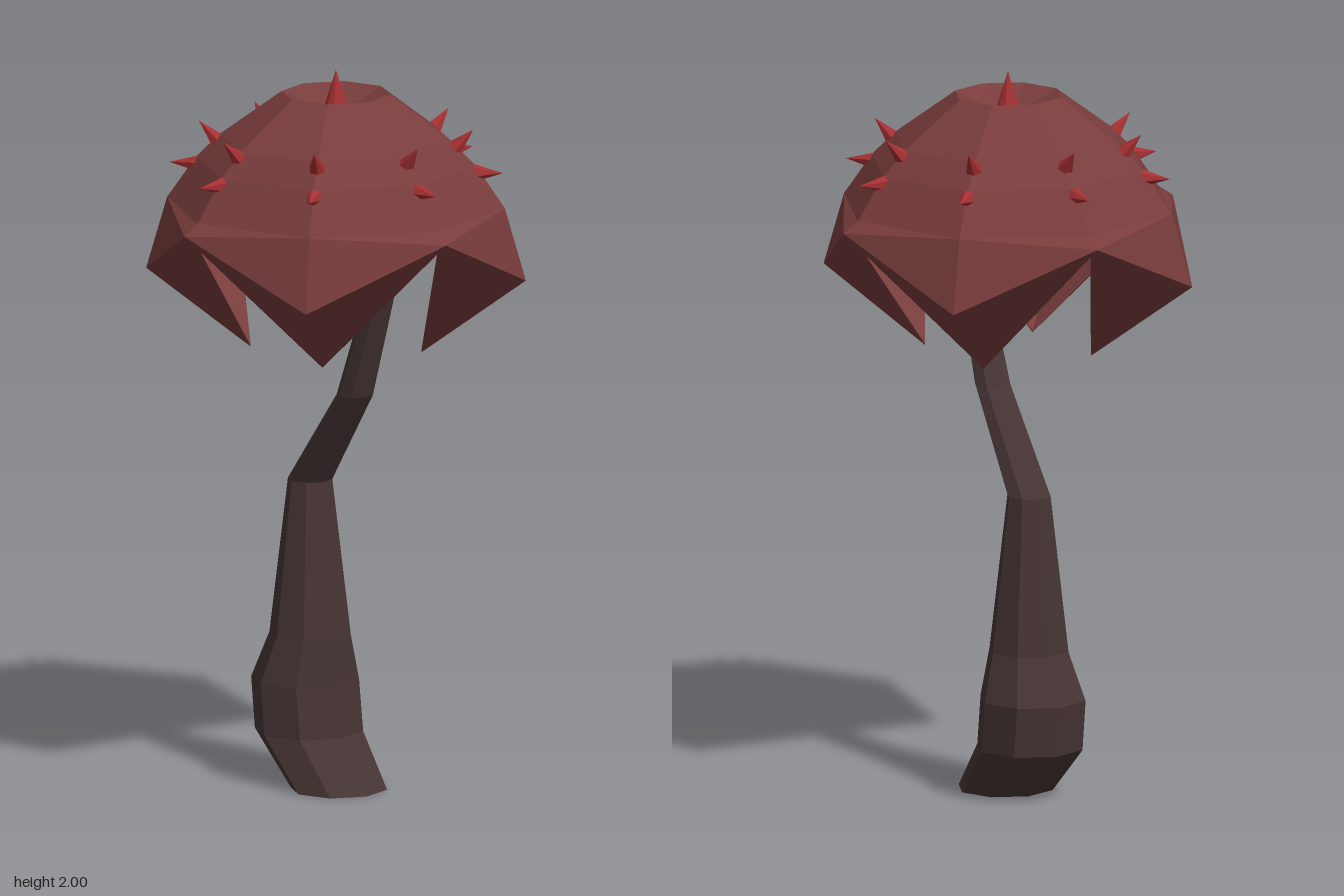
import * as THREE from 'three';

const SIDES = 8;

// Skin a list of 8-point rings; the surface faces outward where rings run upward.
function loft(rings) {
  const pos = [], idx = [];
  rings.forEach(ring => ring.forEach(p => pos.push(...p)));
  for (let k = 0; k < rings.length - 1; k++) {
    for (let i = 0; i < SIDES; i++) {
      const j = (i + 1) % SIDES;
      const a = k * SIDES + i, b = k * SIDES + j, c = a + SIDES, d = b + SIDES;
      // alternate the diagonal so every sector mirrors its neighbour
      if (i % 2) idx.push(a, c, b, b, c, d);
      else idx.push(a, d, b, a, c, d);
    }
  }
  const g = new THREE.BufferGeometry();
  g.setAttribute('position', new THREE.Float32BufferAttribute(pos, 3));
  g.setIndex(idx);
  const flat = g.toNonIndexed();
  flat.computeVertexNormals();
  return flat;
}

// Octagonal ring; even corners lie on the axes, odd corners on the diagonals.
function ring(r, y, rDiag = r, yDiag = y, cx = 0, rz = r) {
  return Array.from({ length: SIDES }, (_, i) => {
    const a = i * Math.PI / 4, odd = i % 2;
    const k = odd ? rDiag / r : 1;
    return [cx + Math.cos(a) * r * k, odd ? yDiag : y, Math.sin(a) * rz * k];
  });
}

export function createModel() {
  const model = new THREE.Group();
  const mat = (name, color) => {
    const m = new THREE.MeshStandardMaterial({ color, flatShading: true });
    m.name = name;
    return m;
  };
  const capRed = mat('dull red cap', 0x793c3c);
  const spikeRed = mat('bright red spike', 0xa63032);
  const bark = mat('dark brown stalk', 0x463434);

  const add = (name, geometry, material, parent = model) => {
    const m = new THREE.Mesh(geometry, material);
    m.name = name;
    parent.add(m);
    return m;
  };

  // Crooked stalk: y, centre x, radius in x, radius in z
  const stalk = [
    [0, 0.013, 0.001, 0.001],
    [0, 0.013, 0.13, 0.135],
    [0.14, -0.125, 0.148, 0.15],
    [0.28, -0.143, 0.147, 0.15],
    [0.41, -0.12, 0.112, 0.112],
    [0.84, -0.12, 0.06, 0.062],
    [1.11, 0.087, 0.047, 0.052],
    [1.40, 0.2, 0.038, 0.043],
    [1.75, 0.07, 0.035, 0.038],
    [1.75, 0.07, 0.001, 0.001],
  ].map(([y, cx, rx, rz]) => ring(rx, y, rx, y, cx, rz));
  add('stalk', loft(stalk), bark);

  // Cap: from the hollow underside, around four hanging points, over the dome to the dimple
  add('cap', loft([
    ring(0.001, 1.84),
    ring(0.28, 1.77),
    ring(0.40, 1.67),
    ring(0.47, 1.575, 0.49, 1.45),
    ring(0.47, 1.575, 0.235, 1.225),
    ring(0.51, 1.60, 0.235, 1.22),
    ring(0.51, 1.60, 0.523, 1.43),
    ring(0.465, 1.63, 0.465, 1.63),
    ring(0.385, 1.745),
    ring(0.32, 1.81),
    ring(0.15, 1.935),
    ring(0.05, 1.89),
    ring(0.001, 1.89),
  ]), capRed);

  // Spikes: one in the dimple and two staggered rows around the dome
  const spikes = new THREE.Group();
  spikes.name = 'spikes';
  model.add(spikes);
  const up = new THREE.Vector3(0, 1, 0);
  const addSpike = (name, base, tip, radius, sides) => {
    const dir = tip.clone().sub(base);
    const s = add(name, new THREE.ConeGeometry(radius, dir.length(), sides), spikeRed, spikes);
    s.position.copy(base).add(tip).multiplyScalar(0.5);
    s.quaternion.setFromUnitVectors(up, dir.normalize());
  };
  addSpike('topSpike', new THREE.Vector3(0, 1.88, 0), new THREE.Vector3(0, 2, 0), 0.037, 8);
  for (let i = 0; i < SIDES; i++) {
    const a = i * Math.PI / 4;
    const at = (r, y) => new THREE.Vector3(Math.cos(a) * r, y, Math.sin(a) * r);
    addSpike('upperSpike', at(0.32, 1.785), at(0.378, 1.845), 0.027, 6);
    addSpike('lowerSpike', at(0.375, 1.725), at(0.46, 1.727), 0.026, 6);
  }
  return model;
}
